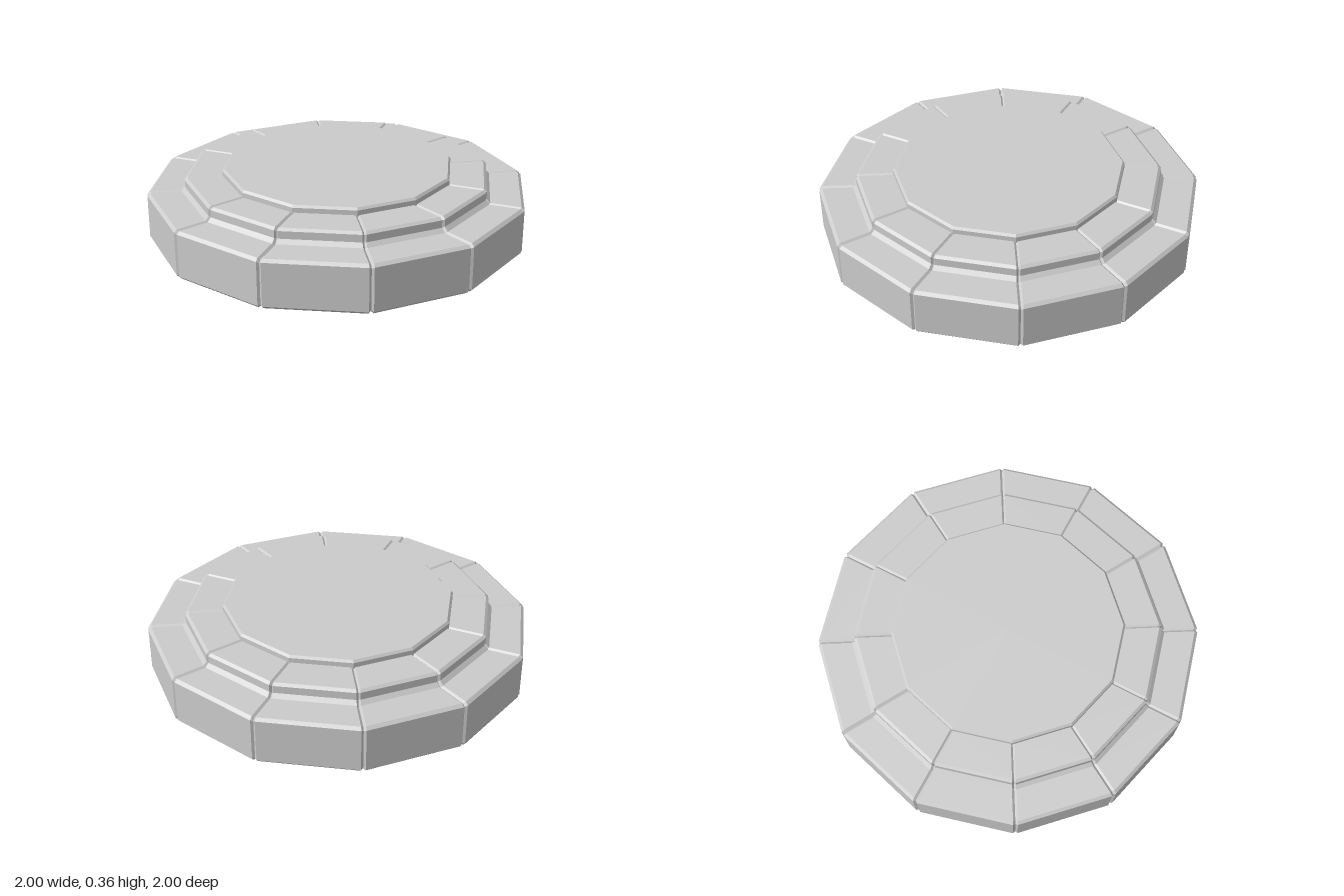
import * as THREE from 'three';

const SIDES = 12;
const material = new THREE.MeshStandardMaterial({
  color: 0xcccccc, flatShading: true, side: THREE.DoubleSide,
});

// One ring of bevelled blocks with a V groove at every corner.
// Profile rows, bottom to top: [radius, y, groove radius, groove y]
function blockRing(name, profile, gap) {
  const group = new THREE.Group();
  group.name = name;
  const corner = (angle, r, y) => new THREE.Vector3(r * Math.cos(angle), y, r * Math.sin(angle));

  for (let k = 0; k < SIDES; k++) {
    const a0 = (k / SIDES) * Math.PI * 2;
    const a1 = ((k + 1) / SIDES) * Math.PI * 2;
    const dir = corner(a1, 1, 0).sub(corner(a0, 1, 0)).normalize().multiplyScalar(gap);

    // Cross-sections along the block: groove, edge, edge, groove
    const rows = profile.map(([r, y, gr, gy]) => [
      corner(a0, gr, gy),
      corner(a0, r, y).add(dir),
      corner(a1, r, y).sub(dir),
      corner(a1, gr, gy),
    ]);
    const points = [];
    for (let i = 0; i < rows.length - 1; i++) {
      for (let j = 0; j < 3; j++) {
        const a = rows[i][j], b = rows[i][j + 1];
        const c = rows[i + 1][j + 1], d = rows[i + 1][j];
        points.push(a, d, c, a, c, b);
      }
    }
    const geometry = new THREE.BufferGeometry().setFromPoints(points);
    geometry.computeVertexNormals();
    const block = new THREE.Mesh(geometry, material);
    block.name = name + 'Block';
    group.add(block);
  }
  return group;
}

export function createModel() {
  const model = new THREE.Group();
  model.name = 'steppedPlatform';

  // Wide lower step, open underneath
  model.add(blockRing('lowerStep', [
    [0.988, 0, 0.978, 0.01],
    [1.002, 0.014, 0.99, 0.018],
    [1.002, 0.24, 0.99, 0.232],
    [0.986, 0.254, 0.976, 0.244],
    [0.825, 0.254, 0.815, 0.244],
  ], 0.012));

  // Middle step with a flared foot
  model.add(blockRing('middleStep', [
    [0.825, 0.254, 0.815, 0.244],
    [0.805, 0.274, 0.793, 0.268],
    [0.805, 0.313, 0.793, 0.307],
    [0.79, 0.325, 0.78, 0.316],
    [0.608, 0.325, 0.608, 0.316],
  ], 0.01));

  // Raised top slab
  const slabProfile = [[0.608, 0.316], [0.608, 0.35], [0.597, 0.362], [0, 0.362]]
    .map(([r, y]) => new THREE.Vector2(r, y));
  const slab = new THREE.Mesh(new THREE.LatheGeometry(slabProfile, SIDES), material);
  slab.name = 'topSlab';
  model.add(slab);

  return model;
}
